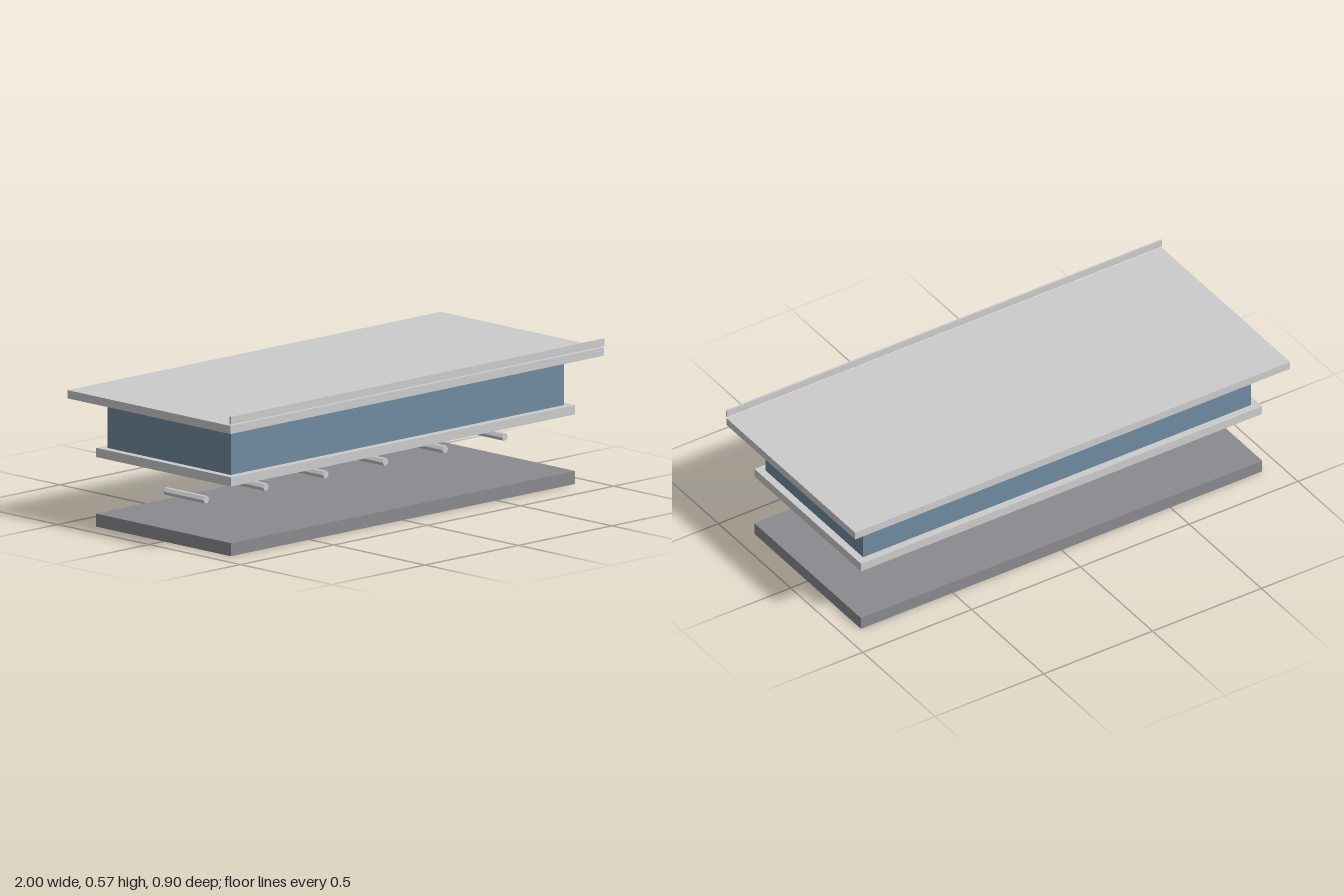
import * as THREE from 'three';

export function createModel() {
  const model = new THREE.Group();
  const grey = new THREE.MeshStandardMaterial({ color: 0xcccccc, flatShading: true });
  const darkGrey = new THREE.MeshStandardMaterial({ color: 0x8a8a8f, flatShading: true });
  const blue = new THREE.MeshStandardMaterial({ color: 0x6f8a9f, flatShading: true });
  const midZ = -0.001; // the lip at the front shifts the stack slightly back

  // Slab spanning y0..y1, centred on x = 0
  function slab(name, width, y0, y1, depth, z, material) {
    const mesh = new THREE.Mesh(new THREE.BoxGeometry(width, y1 - y0, depth), material);
    mesh.name = name;
    mesh.position.set(0, (y0 + y1) / 2, z);
    model.add(mesh);
  }

  slab('basePlate', 1.844, 0, 0.051, 0.738, midZ, darkGrey);
  slab('lowerPlate', 1.844, 0.273, 0.309, 0.738, midZ, grey);
  slab('core', 1.784, 0.309, 0.494, 0.676, midZ, blue);
  slab('topPlate', 2, 0.503, 0.535, 0.892, midZ, grey);
  slab('frontLip', 2, 0.541, 0.571, 0.008, 0.445, grey);

  // Row of six hexagonal rods running front to back
  const rods = new THREE.Group();
  rods.name = 'rods';
  const rodGeometry = new THREE.CylinderGeometry(0.0155, 0.0155, 0.22, 6, 1, false, Math.PI / 2);
  rodGeometry.rotateX(Math.PI / 2);
  for (let i = 0; i < 6; i++) {
    const rod = new THREE.Mesh(rodGeometry, grey);
    rod.name = 'rod';
    rod.position.set(-0.8 + i * 0.32, 0.162, midZ);
    rods.add(rod);
  }
  model.add(rods);

  return model;
}
